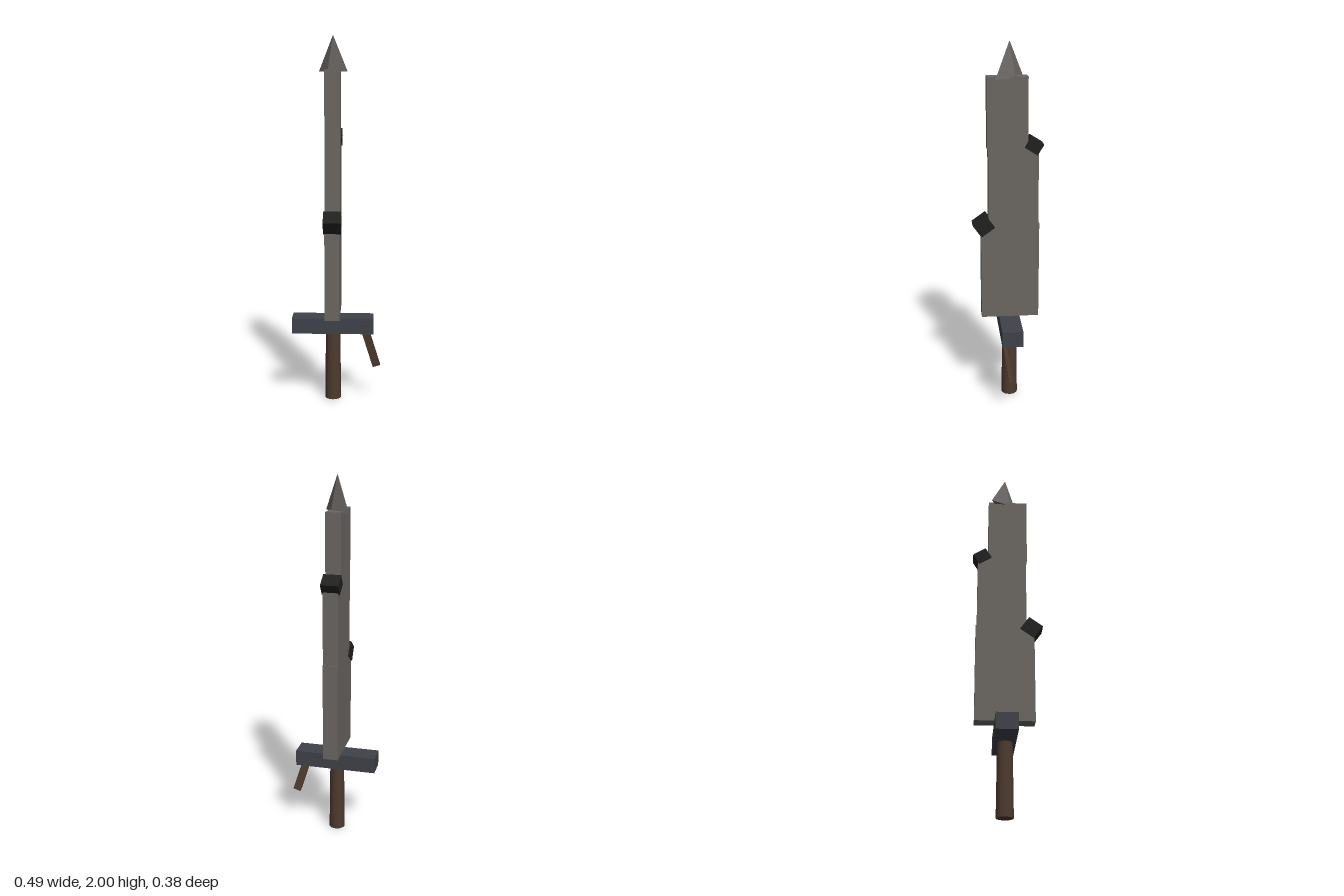
import * as THREE from 'three';

const CX = -0.0225; // shared centre line of blade, grip and tip
const steel = new THREE.MeshStandardMaterial({ color: 0x6b6763, flatShading: true });
const iron = new THREE.MeshStandardMaterial({ color: 0x40424a, flatShading: true });
const black = new THREE.MeshStandardMaterial({ color: 0x20211f, flatShading: true });
const wood = new THREE.MeshStandardMaterial({ color: 0x4d3b2f });
const woodFlat = new THREE.MeshStandardMaterial({ color: 0x4d3b2f, flatShading: true });

export function createModel() {
  const group = new THREE.Group();
  const add = (name, geometry, material, x, y, z) => {
    const mesh = new THREE.Mesh(geometry, material);
    mesh.name = name;
    mesh.position.set(x, y, z);
    group.add(mesh);
    return mesh;
  };

  // Box given by its extents along y and z
  const slab = (name, material, x, width, y0, y1, z0, z1) =>
    add(name, new THREE.BoxGeometry(width, y1 - y0, z1 - z0), material, x, (y0 + y1) / 2, (z0 + z1) / 2);

  // Grip, slightly wider at the pommel end
  add('grip', new THREE.CylinderGeometry(0.04, 0.045, 0.4, 12), wood, CX, 0.2, -0.012);

  // Crossguard
  slab('crossguard', iron, -0.023, 0.45, 0.385, 0.472, -0.07, 0.045);

  // Stepped blade, narrowing upwards
  slab('bladeLower', steel, CX, 0.082, 0.49, 1.03, -0.172, 0.145);
  slab('bladeMiddle', steel, CX, 0.082, 1.03, 1.44, -0.166, 0.103);
  slab('bladeUpper', steel, CX, 0.082, 1.44, 1.82, -0.108, 0.109);

  // Tilted blocks on the blade edges
  const block = (name, y, z, height, depth, tilt) => {
    add(name, new THREE.BoxGeometry(0.095, height, depth), black, CX, y, z).rotation.x = tilt;
  };
  block('frontBlock', 1.021, 0.13, 0.084, 0.091, 0.62);
  block('backBlock', 1.457, -0.141, 0.066, 0.081, -0.56);

  // Four-sided tip, flattened along one diagonal
  const tip = add('tip', new THREE.ConeGeometry(1, 0.19, 4), steel, CX, 1.905, -0.0125);
  tip.scale.set(0.04, 1, 0.112);
  tip.rotation.y = Math.PI / 4;

  // Flat wooden prong slanting down from the guard
  const top = new THREE.Vector3(0.147, 0.435, 0.036);
  const end = new THREE.Vector3(0.22, 0.192, 0.003);
  const mid = top.clone().add(end).multiplyScalar(0.5);
  const prong = add('prong', new THREE.BoxGeometry(0.043, top.distanceTo(end), 0.02), woodFlat, mid.x, mid.y, mid.z);
  prong.quaternion.setFromUnitVectors(new THREE.Vector3(0, 1, 0), top.sub(end).normalize());

  return group;
}
